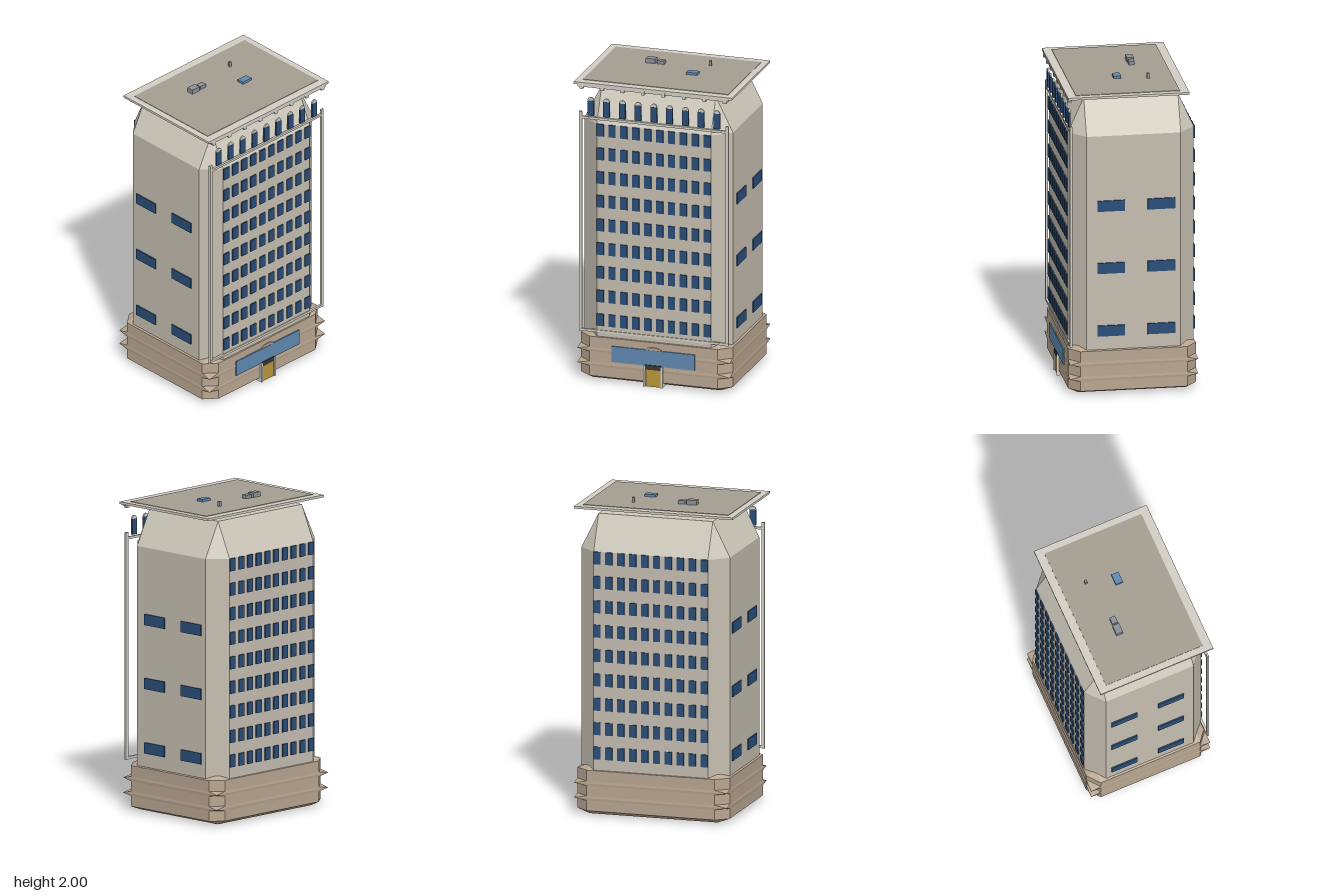
import * as THREE from 'three';

const mat = (color, side = THREE.FrontSide) =>
  new THREE.MeshStandardMaterial({ color, flatShading: true, side });
const M = {
  wall: mat(0xc4bdb0), crown: mat(0xcfcabc), base: mat(0xb8a590), trim: mat(0xd2cec4),
  glass: mat(0x2a4d78), canopy: mat(0x5f88b0), gravel: mat(0xa39e90),
  metal: mat(0x8a9096), door: mat(0xb8963c), dark: mat(0x3a3632),
};
const Z0 = -0.007; // centre of the tower in z

export function createModel() {
  const model = new THREE.Group();

  const add = (name, geometry, material, parent = model) => {
    const mesh = new THREE.Mesh(geometry, material);
    mesh.name = name;
    parent.add(mesh);
    return mesh;
  };
  const group = (name) => {
    const g = new THREE.Group();
    g.name = name;
    model.add(g);
    return g;
  };
  // box given by its lower and upper limits
  const box = (name, x0, x1, y0, y1, z0, z1, material, parent) => {
    const m = add(name, new THREE.BoxGeometry(x1 - x0, y1 - y0, z1 - z0), material, parent);
    m.position.set((x0 + x1) / 2, (y0 + y1) / 2, (z0 + z1) / 2);
    return m;
  };

  // rectangle with cut corners, as eight points
  const ring = ([y, hx, hz, cx, cz]) => [
    [hx, hz - cz], [hx, cz - hz], [hx - cx, -hz], [cx - hx, -hz],
    [-hx, cz - hz], [-hx, hz - cz], [cx - hx, hz], [hx - cx, hz],
  ].map(([x, z]) => new THREE.Vector3(x, y, z + Z0));

  // closed solid through rings stacked from bottom to top
  const loft = (sections) => {
    const rings = sections.map(ring);
    const pos = [];
    const tri = (a, b, c) => {
      const area = b.clone().sub(a).cross(c.clone().sub(a)).length();
      if (area > 1e-9) for (const p of [a, b, c]) pos.push(p.x, p.y, p.z);
    };
    for (let i = 0; i + 1 < rings.length; i++) {
      for (let j = 0; j < 8; j++) {
        const k = (j + 1) % 8;
        const [a, b, c, d] = [rings[i][j], rings[i][k], rings[i + 1][k], rings[i + 1][j]];
        tri(a, b, c);
        tri(a, c, d);
      }
    }
    const top = rings[rings.length - 1];
    for (let j = 1; j < 7; j++) {
      tri(rings[0][0], rings[0][j + 1], rings[0][j]);
      tri(top[0], top[j], top[j + 1]);
    }
    const g = new THREE.BufferGeometry();
    g.setAttribute('position', new THREE.Float32BufferAttribute(pos, 3));
    g.computeVertexNormals();
    return g;
  };

  // Plinth with pointed corner ledges at two heights
  const cut = (y) => [y, 0.5, 0.404, 0.08, 0.065];
  const point = (y) => [y, 0.502, 0.406, 0, 0];
  add('base', loft([
    [0, 0.42, 0.339, 0, 0], cut(0.03),
    cut(0.095), point(0.11), cut(0.125),
    cut(0.19), point(0.205), cut(0.22),
    cut(0.29), [0.32, 0.42, 0.339, 0, 0],
  ]), M.base);

  // Shaft and its sloping crown
  const shoulder = [1.695, 0.488, 0.398, 0.113, 0.1];
  add('shaft', loft([[0.28, ...shoulder.slice(1)], shoulder]), M.wall);
  add('crown', loft([shoulder, [1.92, 0.375, 0.298, 0, 0]]), M.crown);

  // Window grid on the front and back
  const grid = group('windows');
  for (const s of [1, -1]) {
    for (let row = 0; row < 9; row++) {
      for (let col = 0; col < 10; col++) {
        const w = add('window', new THREE.BoxGeometry(0.046, 0.08, 0.016), M.glass, grid);
        w.position.set((col - 4.5) * 0.0782, 0.404 + row * 0.1565, Z0 + s * 0.398);
      }
    }
  }

  // Wide windows on both sides
  for (const s of [1, -1]) {
    for (const y of [0.417, 0.828, 1.236]) {
      for (const z of [0.136, -0.182]) {
        const w = add('sideWindow', new THREE.BoxGeometry(0.016, 0.07, 0.174), M.glass, grid);
        w.position.set(s * 0.488, y, z);
      }
    }
  }

  // Thin frame standing in front of the facade
  const frame = group('facadeFrame');
  for (const s of [1, -1]) {
    const post = add('framePost', new THREE.BoxGeometry(0.02, 1.45, 0.014), M.trim, frame);
    post.position.set(s * 0.482, 1.042, 0.389);
  }
  box('frameTopBar', -0.49, 0.49, 1.722, 1.737, 0.382, 0.397, M.trim, frame);
  box('frameBottomBar', -0.49, 0.49, 0.32, 0.335, 0.382, 0.397, M.trim, frame);

  // Row of arched windows below the roof
  const arches = group('archedWindows');
  const archCap = (r, depth) => new THREE.CylinderGeometry(r, r, depth, 16, 1, false, 0, Math.PI)
    .rotateZ(Math.PI / 2).rotateY(Math.PI / 2);
  const halfDisc = (r, depth) => {
    const shape = new THREE.Shape();
    shape.absarc(0, 0, r, 0, Math.PI, false);
    return new THREE.ExtrudeGeometry(shape, { depth, bevelEnabled: false, curveSegments: 10 });
  };
  for (let i = -4; i <= 4; i++) {
    const x = i * 0.1037;
    box('archedWindow', x - 0.021, x + 0.021, 1.745, 1.845, 0.384, 0.396, M.glass, arches);
    add('archHead', halfDisc(0.021, 0.01), M.trim, arches).position.set(x, 1.845, 0.385);
  }

  // Flat overhanging roof with cornice brackets
  box('roofSlab', -0.52, 0.52, 1.95, 1.965, -0.356, 0.412, M.trim);
  box('roofDeck', -0.478, 0.478, 1.955, 1.968, -0.302, 0.358, M.gravel);
  box('corniceRail', -0.495, 0.495, 1.936, 1.95, 0.388, 0.41, M.trim);
  for (let i = 0; i < 8; i++) {
    const x = (i - 3.5) * 0.1345;
    box('corniceBracket', x - 0.011, x + 0.011, 1.922, 1.95, 0.386, 0.412, M.trim);
  }

  // Roof equipment
  box('largeVent', -0.204, -0.141, 1.966, 1.998, -0.11, -0.065, M.metal);
  box('smallVent', -0.129, -0.083, 1.966, 1.99, -0.105, -0.068, M.metal);
  box('skylight', 0.106, 0.179, 1.966, 1.983, 0.022, 0.07, M.canopy);
  box('chimney', 0.189, 0.206, 1.966, 2, -0.152, -0.136, M.metal);

  // Entrance with glazed band, arch and double door
  const entrance = group('entrance');
  box('entranceGlass', -0.273, 0.273, 0.137, 0.24, 0.38, 0.405, M.canopy, entrance);
  const arch = add('entranceArch', halfDisc(0.05, 0.02), M.base, entrance);
  arch.scale.y = 0.36;
  arch.position.set(0, 0.24, 0.384);
  box('doorLintel', -0.052, 0.052, 0.113, 0.143, 0.38, 0.411, M.dark, entrance);
  for (const s of [1, -1]) {
    const leaf = add('doorLeaf', new THREE.BoxGeometry(0.047, 0.113, 0.08), M.door, entrance);
    leaf.position.set(s * 0.0245, 0.0575, 0.366);
    const jamb = add('doorJamb', new THREE.BoxGeometry(0.012, 0.138, 0.08), M.trim, entrance);
    jamb.position.set(s * 0.057, 0.069, 0.372);
  }
  box('doorGap', -0.002, 0.002, 0.001, 0.113, 0.33, 0.404, M.dark, entrance);

  return model;
}
